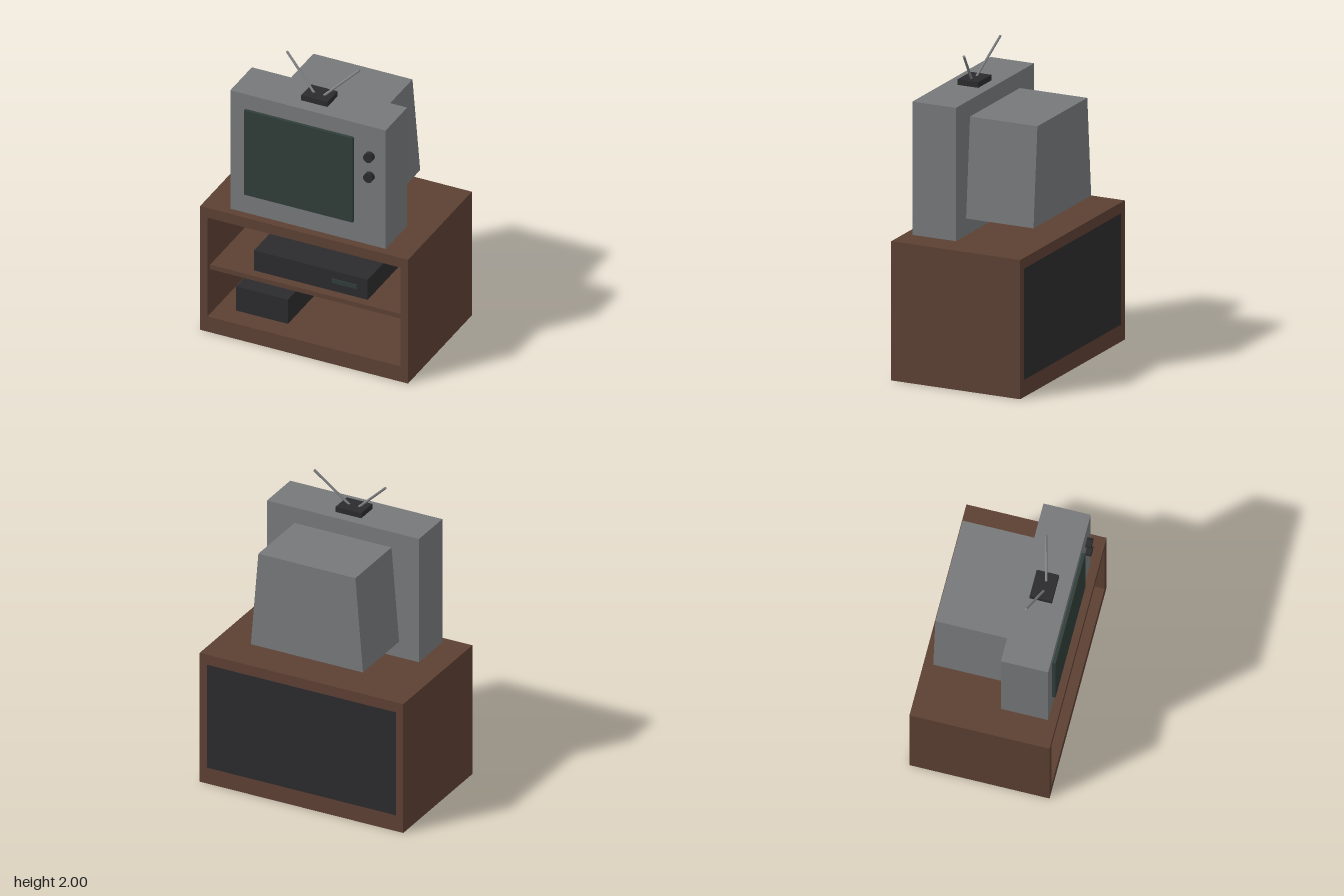
import * as THREE from 'three';

const mat = (color) => new THREE.MeshStandardMaterial({ color, flatShading: true });
const wood = mat(0x5c4033);
const shell = mat(0x76787a);
const dark = mat(0x2b2b2d);
const glass = mat(0x303d39);
const metal = mat(0x808284);

export function createModel() {
  const model = new THREE.Group();
  model.name = 'televisionOnStand';

  const add = (name, geometry, material) => {
    const mesh = new THREE.Mesh(geometry, material);
    mesh.name = name;
    model.add(mesh);
    return mesh;
  };

  // Box given by its limits on each axis
  const box = (name, [x0, x1], [y0, y1], [z0, z1], material) => {
    const mesh = add(name, new THREE.BoxGeometry(x1 - x0, y1 - y0, z1 - z0), material);
    mesh.position.set((x0 + x1) / 2, (y0 + y1) / 2, (z0 + z1) / 2);
    return mesh;
  };

  // Flat outline in x and y, extruded from z0 to z1
  const prism = (name, shape, z0, z1, material) => {
    const geometry = new THREE.ExtrudeGeometry(shape, { depth: z1 - z0, bevelEnabled: false });
    return add(name, geometry.translate(0, 0, z0), material);
  };
  const points = (list) => list.map(([x, y]) => new THREE.Vector2(x, y));

  // Cabinet: hollow wooden frame, back panel and shelf
  const frame = new THREE.Shape(points([[-0.713, 0], [0.713, 0], [0.713, 0.895], [-0.713, 0.895]]));
  frame.holes.push(new THREE.Path(points([[-0.662, 0.11], [-0.662, 0.825], [0.662, 0.825], [0.662, 0.11]])));
  prism('cabinetFrame', frame, -0.445, 0.445, wood);
  box('cabinetBackPanel', [-0.662, 0.662], [0.11, 0.825], [-0.445, -0.42], dark);
  box('shelf', [-0.662, 0.662], [0.433, 0.465], [-0.42, 0.41], wood);

  // Devices in the cabinet
  box('videoRecorder', [-0.39, 0.39], [0.465, 0.61], [-0.18, 0.35], dark);
  box('recorderDisplay', [0.145, 0.317], [0.525, 0.555], [0.345, 0.356], glass);
  box('gameConsole', [-0.535, -0.18], [0.11, 0.285], [-0.2, 0.305], dark);

  // Television housing, and the tube cover that narrows toward its top
  box('televisionHousing', [-0.533, 0.533], [0.895, 1.752], [0.09, 0.39], shell);
  const cover = new THREE.Shape(points([[-0.393, 1.003], [0.393, 1.003], [0.34, 1.645], [-0.34, 1.645]]));
  prism('tubeCover', cover, -0.375, 0.09, shell);
  box('screen', [-0.43, 0.317], [1.037, 1.646], [0.38, 0.411], glass);

  // Tuning knobs
  for (const y of [1.54, 1.395]) {
    const knob = add('knob', new THREE.CylinderGeometry(0.032, 0.032, 0.045, 16), dark);
    knob.rotation.x = Math.PI / 2;
    knob.position.set(0.427, y, 0.4035);
  }

  // Antenna: base and two mirrored rods
  box('antennaBase', [-0.09, 0.09], [1.752, 1.788], [0.16, 0.302], dark);
  for (const side of [-1, 1]) {
    const foot = new THREE.Vector3(side * 0.03, 1.78, 0.235);
    const tip = new THREE.Vector3(side * 0.25, 1.995, 0.178);
    const along = tip.clone().sub(foot);
    const rod = add('antennaRod', new THREE.CylinderGeometry(0.008, 0.008, along.length(), 8), metal);
    rod.position.copy(foot).add(tip).multiplyScalar(0.5);
    rod.quaternion.setFromUnitVectors(new THREE.Vector3(0, 1, 0), along.normalize());
  }

  return model;
}
